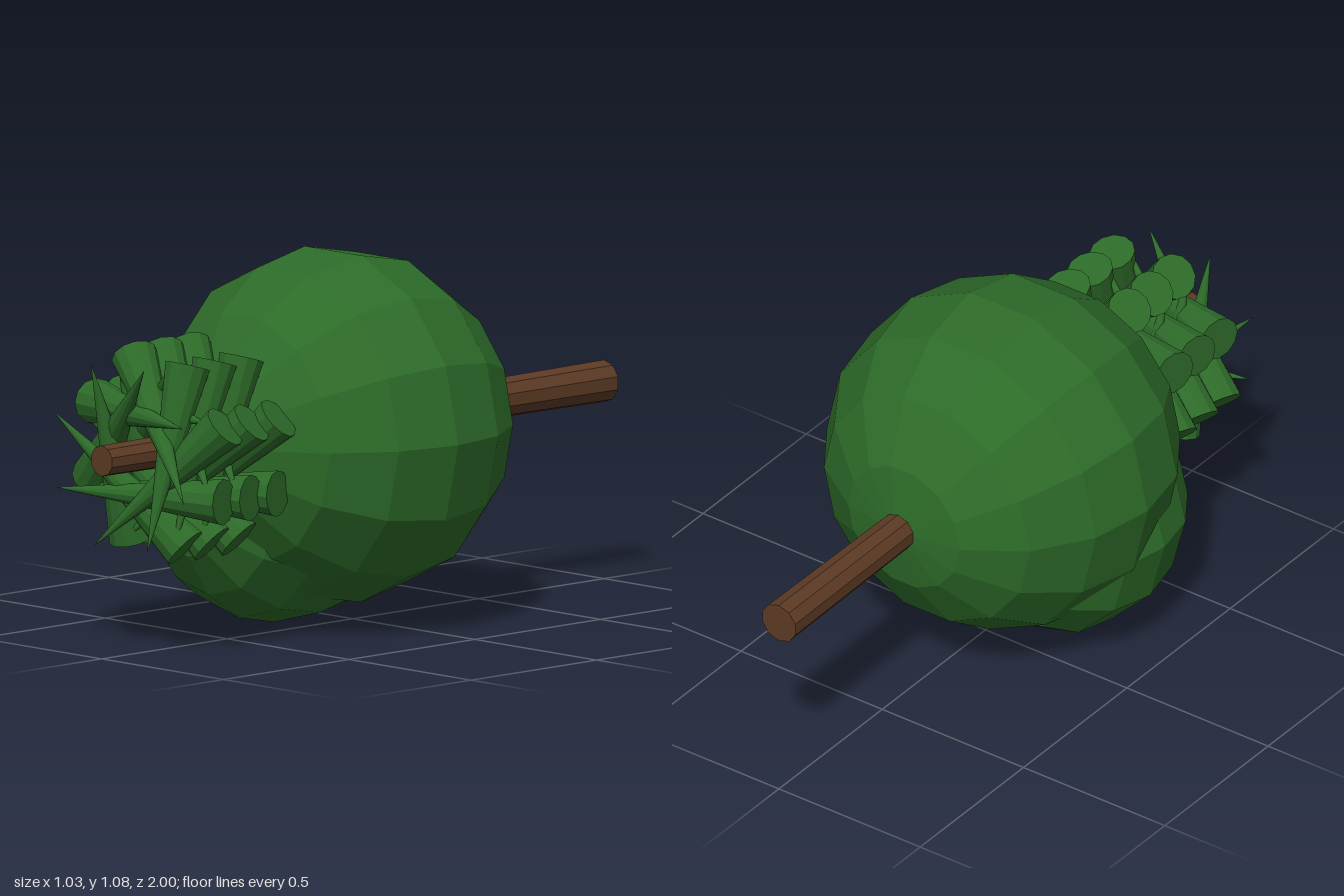
import * as THREE from 'three';

const AXIS_Y = 0.573; // height of the lying trunk

export function createModel() {
  const group = new THREE.Group();
  const green = new THREE.MeshStandardMaterial({ color: 0x2d6b29, flatShading: true });
  const brown = new THREE.MeshStandardMaterial({ color: 0x5c3a24, flatShading: true });

  const add = (name, geometry, material, x, y, z, parent = group) => {
    const mesh = new THREE.Mesh(geometry, material);
    mesh.name = name;
    mesh.position.set(x, y, z);
    parent.add(mesh);
    return mesh;
  };

  // Tapered trunk lying along z, thick end at the back
  add('trunk', new THREE.CylinderGeometry(0.045, 0.061, 2, 10).rotateX(Math.PI / 2), brown, 0, AXIS_Y, 0);

  // Faceted foliage balls with their poles along the trunk
  const ball = (r, sides) => new THREE.SphereGeometry(r, sides, 8).rotateX(Math.PI / 2);
  add('mainFoliage', ball(0.515, 14), green, 0, AXIS_Y, 0.08);
  add('lowerFoliage', ball(0.371, 12), green, -0.115, 0.371, 0.2);

  // Three whorls of eight spikes, each set tangentially and tipped forward
  const spike = new THREE.ConeGeometry(0.067, 0.55, 12).rotateX(Math.PI - 0.3);
  for (let layer = 0; layer < 3; layer++) {
    const whorl = new THREE.Group();
    whorl.name = 'spikeWhorl' + (layer + 1);
    whorl.position.set(0, AXIS_Y, 0.85 - layer * 0.107);
    group.add(whorl);
    for (let i = 0; i < 8; i++) {
      const a = (i * Math.PI) / 4;
      const mesh = add('spike', spike, green, 0.115 * Math.cos(a), 0.115 * Math.sin(a), 0, whorl);
      mesh.rotation.z = a;
    }
  }
  return group;
}
